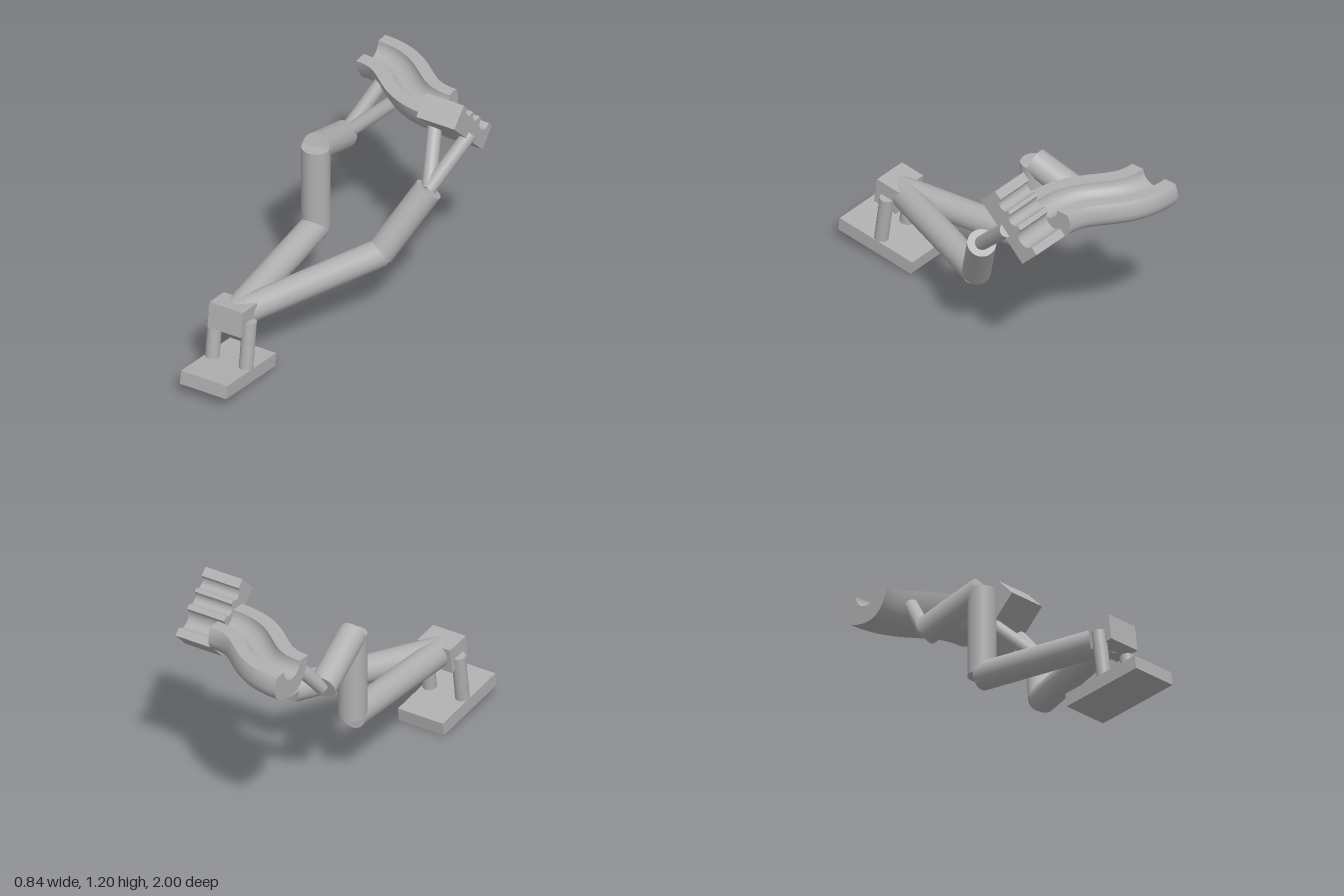
import * as THREE from 'three';
import { toCreasedNormals } from 'three/addons/utils/BufferGeometryUtils.js';

const grey = new THREE.MeshStandardMaterial({ color: 0xb0b0b0 });
grey.name = 'plain grey';

const V = (x, y, z) => new THREE.Vector3(x, y, z);

function add(parent, name, geometry) {
  const mesh = new THREE.Mesh(geometry, grey);
  mesh.name = name;
  parent.add(mesh);
  return mesh;
}

// Flat-ended rod between two points
function rod(parent, name, a, b, radius) {
  const dir = b.clone().sub(a);
  const mesh = add(parent, name, new THREE.CylinderGeometry(radius, radius, dir.length(), 40));
  mesh.position.copy(a).addScaledVector(dir, 0.5);
  mesh.quaternion.setFromUnitVectors(V(0, 1, 0), dir.normalize());
}

// Limb of thick rods ending in two thin prongs
function limb(parent, name, joints, tips) {
  const group = new THREE.Group();
  group.name = name;
  for (let i = 1; i < joints.length; i++) rod(group, 'armSegment' + i, joints[i - 1], joints[i], 0.074);
  tips.forEach((tip, i) => rod(group, 'prong' + (i + 1), joints[joints.length - 1], tip, 0.037));
  parent.add(group);
}

// Slanted grip block with three grooves; shape x runs towards the back
function gripGeometry(width) {
  const h = Math.SQRT1_2, length = 0.385, thick = 0.133;
  const at = (u, w) => [0.455 + (u - w) * h, 1.21 - (u + w) * h];
  const shape = new THREE.Shape();
  shape.moveTo(...at(0, 0));
  for (const [u, r] of [[0.085, 0.034], [0.174, 0.034], [0.288, 0.052]]) {
    shape.lineTo(...at(u - r, 0));
    shape.absarc(...at(u, 0), r, Math.PI * 0.75, Math.PI * 1.75, false);
  }
  shape.lineTo(...at(length, 0));
  shape.lineTo(...at(length, thick));
  shape.lineTo(...at(0, thick));
  shape.closePath();
  const geo = new THREE.ExtrudeGeometry(shape, { depth: width, bevelEnabled: false, curveSegments: 16 });
  return toCreasedNormals(geo.rotateY(Math.PI / 2), 0.6);
}

// Grooved channel: one section swept along an S-curve
function channelGeometry() {
  const shape = new THREE.Shape();
  shape.moveTo(-0.15, 1.07);
  shape.bezierCurveTo(-0.13, 0.97, -0.08, 0.906, 0, 0.906);
  shape.bezierCurveTo(0.09, 0.906, 0.15, 0.94, 0.15, 1.0);
  shape.quadraticCurveTo(0.15, 1.04, 0.132, 1.07);
  shape.lineTo(0.065, 1.07);
  shape.absarc(-0.005, 1.07, 0.07, 0, -Math.PI, true);
  shape.closePath();
  const geo = new THREE.ExtrudeGeometry(shape, { depth: 1, steps: 32, bevelEnabled: false, curveSegments: 18 });
  const spine = new THREE.CubicBezierCurve3(
    V(-0.4, 0, -0.85), V(-0.117, 0, -0.85), V(-0.117, 0, -0.612), V(0.167, 0, -0.612));
  const pos = geo.attributes.position;
  for (let i = 0; i < pos.count; i++) {
    const t = THREE.MathUtils.clamp(pos.getZ(i), 0, 1), d = pos.getX(i);
    const p = spine.getPoint(t), tan = spine.getTangent(t);
    pos.setXYZ(i, p.x + tan.z * d, pos.getY(i), p.z - tan.x * d);
  }
  return toCreasedNormals(geo, 0.55);
}

export function createModel() {
  const model = new THREE.Group();
  model.name = 'jointedStand';

  // Tilted foot: plate, two posts and a hub block
  const foot = new THREE.Group();
  foot.name = 'foot';
  foot.position.set(-0.263, 0.075, 0.76);
  foot.rotation.x = -0.137;
  add(foot, 'basePlate', new THREE.BoxGeometry(0.274, 0.074, 0.48));
  for (const side of [-1, 1]) rod(foot, 'post', V(side * 0.1, 0, -0.005), V(side * 0.1, 0.3, -0.005), 0.037);
  add(foot, 'hubBlock', new THREE.BoxGeometry(0.198, 0.142, 0.142)).position.y = 0.302;
  model.add(foot);

  const hub = V(-0.263, 0.372, 0.715);

  // Right limb carries the channel
  limb(model, 'rightLimb',
    [hub, V(-0.298, 0.42, -0.145), V(-0.298, 0.897, -0.145), V(-0.345, 0.762, -0.49)],
    [V(-0.24, 1.0, -0.68), V(-0.09, 1.0, -0.61)]);
  // The vertical segment's bottom and the lower segment meet at a plain elbow

  // Left limb carries the grip
  limb(model, 'leftLimb',
    [hub, V(0.11, 0.42, -0.1), V(0.288, 0.765, -0.282)],
    [V(0.178, 1.0, -0.525), V(0.385, 1.0, -0.525)]);

  add(model, 'grip', gripGeometry(0.225)).position.x = 0.166;
  add(model, 'channel', channelGeometry());
  return model;
}
